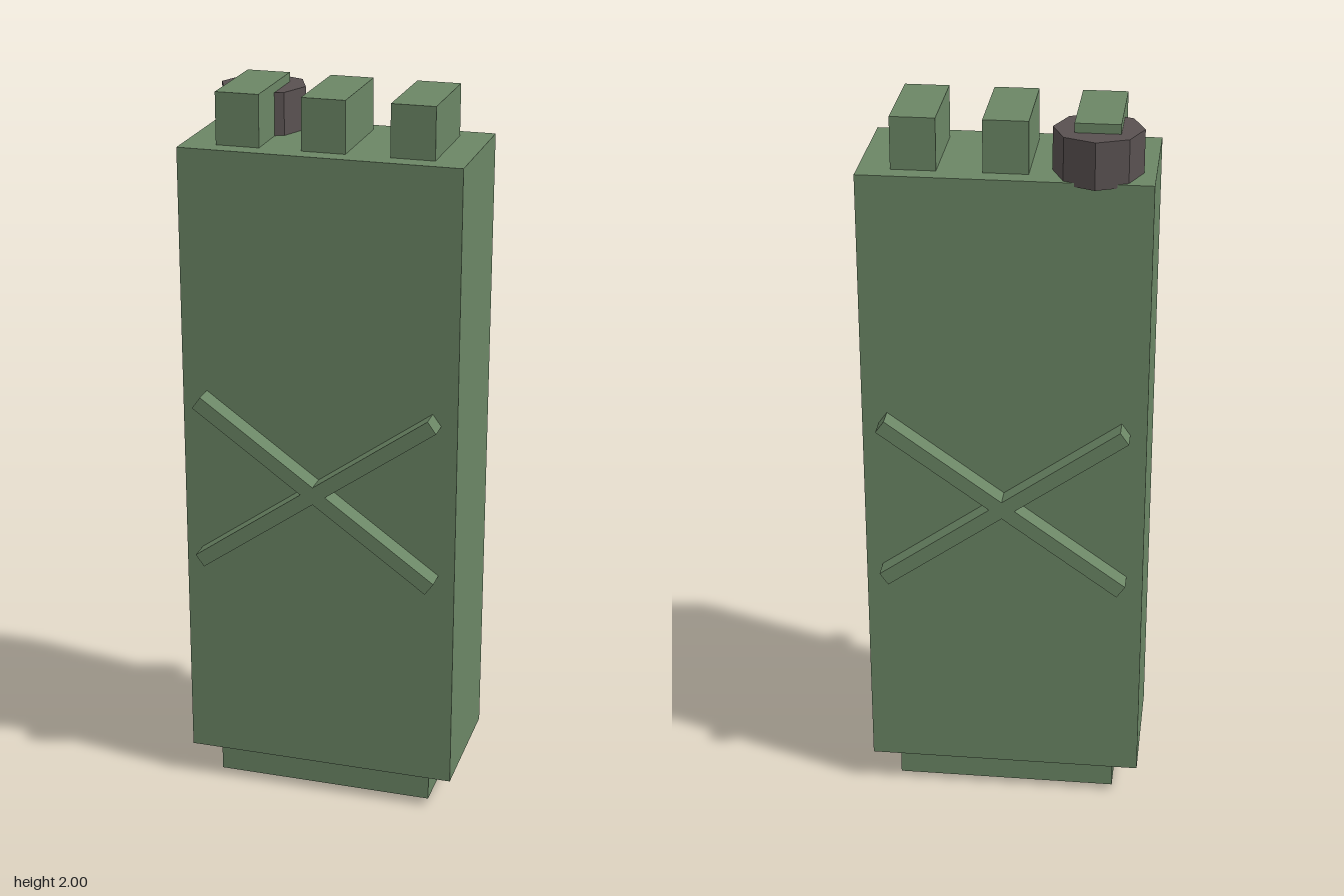
import * as THREE from 'three';

export function createModel() {
  const model = new THREE.Group();
  model.name = 'fuelCan';

  const green = new THREE.MeshStandardMaterial({ color: 0x6b8665 });
  green.name = 'olive green';
  const grey = new THREE.MeshStandardMaterial({ color: 0x595151 });
  grey.name = 'dark grey';
  grey.flatShading = true;

  const add = (name, geometry, material, x, y, z) => {
    const mesh = new THREE.Mesh(geometry, material);
    mesh.name = name;
    mesh.position.set(x, y, z);
    model.add(mesh);
    return mesh;
  };

  // Tank body and the narrower foot below it
  add('body', new THREE.BoxGeometry(0.762, 1.765, 0.371), green, 0, 0.9775, 0);
  add('foot', new THREE.BoxGeometry(0.617, 0.1, 0.28), green, 0, 0.05, 0);

  // Three carrying handles on top
  const handles = [['rightHandle', -0.232], ['middleHandle', 0], ['leftHandle', 0.237]];
  for (const [name, x] of handles) {
    add(name, new THREE.BoxGeometry(0.118, 0.15, 0.269), green, x, 1.925, -0.001);
  }

  // Octagonal filler cap, behind the right handle
  add('fillerCap', new THREE.CylinderGeometry(0.117, 0.117, 0.125, 8), grey, -0.232, 1.9125, -0.091);

  // Raised X-shaped rib, outlined arm by arm
  const angle = 0.622, length = 0.4, half = 0.02;
  const outline = [];
  const c = Math.cos(angle), s = Math.sin(angle);
  const notches = [[0, half / c], [-half / s, 0], [0, -half / c], [half / s, 0]];
  [[c, s], [-c, s], [-c, -s], [c, -s]].forEach(([dx, dy], i) => {
    for (const side of [-1, 1]) {
      outline.push(new THREE.Vector2(dx * length - dy * half * side, dy * length + dx * half * side));
    }
    outline.push(new THREE.Vector2(...notches[i]));
  });
  const rib = new THREE.ExtrudeGeometry(new THREE.Shape(outline), { depth: 0.068, bevelEnabled: false });

  // One rib on the front and one on the back
  add('frontCrossRib', rib, green, 0, 0.945, 0.175);
  add('backCrossRib', rib, green, 0, 0.945, -0.175).rotation.y = Math.PI;

  return model;
}
